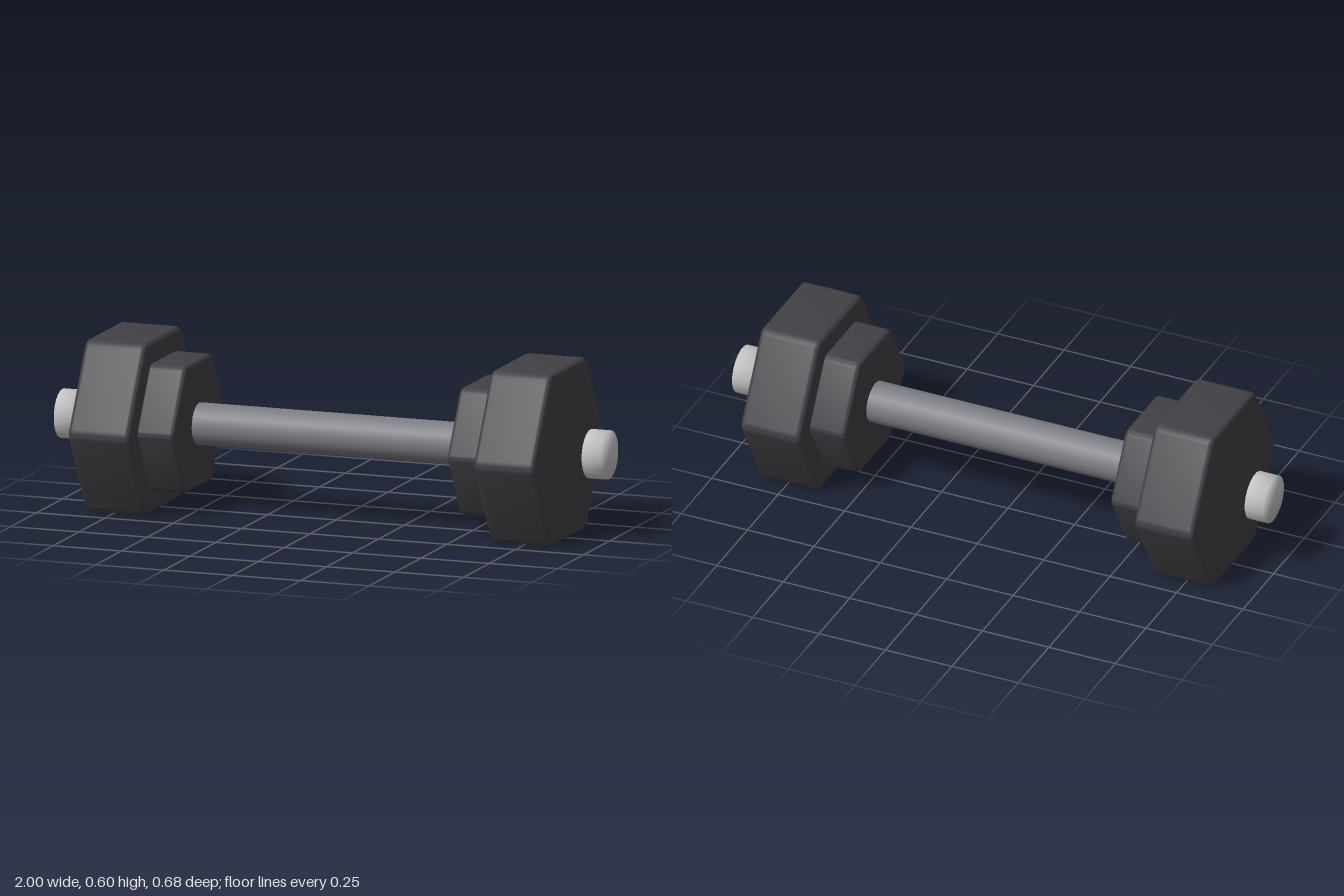
import * as THREE from 'three';
import { mergeVertices, toCreasedNormals } from 'three/addons/utils/BufferGeometryUtils.js';

const AXIS_Y = 0.3;
const rubber = new THREE.MeshStandardMaterial({ color: 0x414146 });
const steel = new THREE.MeshStandardMaterial({ color: 0x7c7c84 });
const chrome = new THREE.MeshStandardMaterial({ color: 0xd8d8da, side: THREE.DoubleSide });

// Hexagon with flat top and bottom and rounded corners
function roundedHexagon(apothem, radius) {
  const pts = [];
  const centreDist = (apothem - radius) / Math.cos(Math.PI / 6);
  const steps = 5;
  for (let i = 0; i < 6; i++) {
    const corner = i * Math.PI / 3;
    for (let j = 0; j <= steps; j++) {
      const a = corner + (j / steps - 0.5) * Math.PI / 3;
      pts.push(new THREE.Vector2(
        centreDist * Math.cos(corner) + radius * Math.cos(a),
        centreDist * Math.sin(corner) + radius * Math.sin(a)));
    }
  }
  return new THREE.Shape(pts);
}

// Hexagonal weight with softened edges, spanning x0..x1
function hexPlate(name, apothem, corner, bevel, x0, x1) {
  const geo = new THREE.ExtrudeGeometry(roundedHexagon(apothem - bevel, corner - bevel), {
    depth: x1 - x0 - 2 * bevel,
    bevelEnabled: true, bevelSize: bevel, bevelThickness: bevel, bevelSegments: 4,
  });
  geo.translate(0, 0, x0 + bevel);
  geo.rotateY(Math.PI / 2);
  const mesh = new THREE.Mesh(toCreasedNormals(geo, 0.6), rubber);
  mesh.name = name;
  return mesh;
}

// Short end cap with normals blended across its rim
function endCap() {
  let geo = new THREE.CylinderGeometry(0.085, 0.085, 0.07, 20);
  geo.deleteAttribute('normal');
  geo.deleteAttribute('uv');
  geo = mergeVertices(geo);
  geo.computeVertexNormals();
  geo.rotateX(0).rotateY(Math.PI / 20).rotateZ(-Math.PI / 2);
  const mesh = new THREE.Mesh(geo, chrome);
  mesh.name = 'endCap';
  mesh.position.x = 0.965;
  return mesh;
}

export function createModel() {
  const model = new THREE.Group();
  model.name = 'dumbbell';

  // Handle bar between the weights
  const handle = new THREE.Mesh(new THREE.CylinderGeometry(0.073, 0.073, 1.04, 24), steel);
  handle.name = 'handle';
  handle.rotation.z = Math.PI / 2;
  handle.position.y = AXIS_Y;
  model.add(handle);

  // Stepped weights and end cap, turned round for the other side
  for (const side of ['left', 'right']) {
    const weight = new THREE.Group();
    weight.name = side + 'Weight';
    weight.add(
      hexPlate('innerPlate', 0.222, 0.035, 0.014, 0.5, 0.64),
      hexPlate('outerPlate', 0.3, 0.042, 0.016, 0.63, 0.852),
      endCap());
    weight.position.y = AXIS_Y;
    if (side === 'right') weight.rotation.y = Math.PI;
    model.add(weight);
  }
  return model;
}
